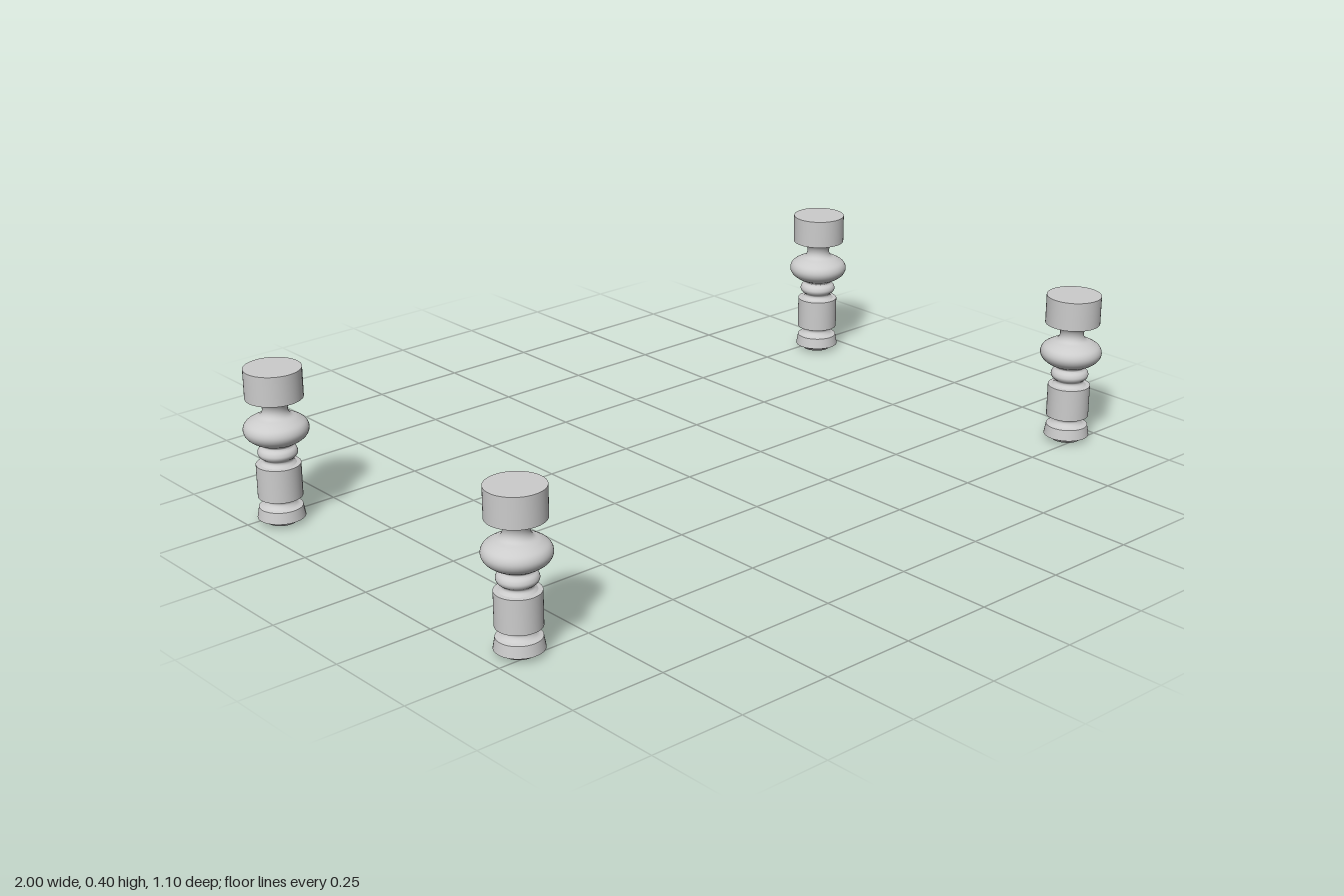
import * as THREE from 'three';

const material = new THREE.MeshStandardMaterial({ color: 0xcccccc });
const SIDES = 48;

// Turned sections from floor to top as [radius, height]; edges stay sharp between sections.
const sections = [
  { name: 'footUnderside', points: [[0, 0], [0.038, 0]] },
  { name: 'footChamfer', points: [[0.038, 0], [0.046, 0.008], [0.058, 0.013]] },
  { name: 'footRing', points: [[0.059, 0.013], [0.054, 0.041]], from: [0.058, 0.013] },
  { name: 'ankle', smooth: true, points: [[0.054, 0.041], [0.042, 0.045], [0.035, 0.054], [0.038, 0.062], [0.045, 0.066]] },
  { name: 'drumUnderside', points: [[0.045, 0.066], [0.055, 0.067]] },
  { name: 'drum', points: [[0.055, 0.067], [0.055, 0.152]] },
  { name: 'drumTop', points: [[0.055, 0.152], [0.044, 0.153]] },
  { name: 'lowerNeck', smooth: true, points: [[0.044, 0.153], [0.037, 0.159], [0.036, 0.165], [0.04, 0.169]] },
  { name: 'bead', smooth: true, points: [[0.04, 0.169], [0.046, 0.174], [0.049, 0.182], [0.046, 0.191], [0.039, 0.197]] },
  { name: 'beadNeck', smooth: true, points: [[0.039, 0.197], [0.037, 0.201], [0.04, 0.206]] },
  {
    name: 'bulb', smooth: true,
    points: [[0.04, 0.206], [0.058, 0.214], [0.074, 0.227], [0.08, 0.243], [0.074, 0.259], [0.056, 0.271],
      [0.038, 0.279], [0.031, 0.292], [0.034, 0.308], [0.046, 0.323]],
  },
  { name: 'blockUnderside', points: [[0.046, 0.323], [0.071, 0.324]] },
  { name: 'block', points: [[0.071, 0.324], [0.071, 0.4]] },
  { name: 'blockTop', points: [[0.071, 0.4], [0, 0.4]] },
];

function turn({ points, from, smooth }) {
  let profile = points.map(([r, y]) => new THREE.Vector2(r, y));
  if (from) profile.unshift(new THREE.Vector2(...from));
  if (from) profile = [profile[1], profile[2]];
  if (smooth) profile = new THREE.SplineCurve(profile).getPoints(points.length * 4);
  return new THREE.LatheGeometry(profile, SIDES);
}

export function createModel() {
  const model = new THREE.Group();
  model.name = 'turnedLegs';
  const parts = sections.map((s) => ({ name: s.name, geometry: turn(s) }));

  // Four legs at the corners
  for (const [side, x] of [['Left', 0.92], ['Right', -0.92]]) {
    for (const [end, z] of [['front', 0.47], ['back', -0.47]]) {
      const leg = new THREE.Group();
      leg.name = `${end}${side}Leg`;
      leg.position.set(x, 0, z);
      for (const { name, geometry } of parts) {
        const mesh = new THREE.Mesh(geometry, material);
        mesh.name = name;
        leg.add(mesh);
      }
      model.add(leg);
    }
  }
  return model;
}
